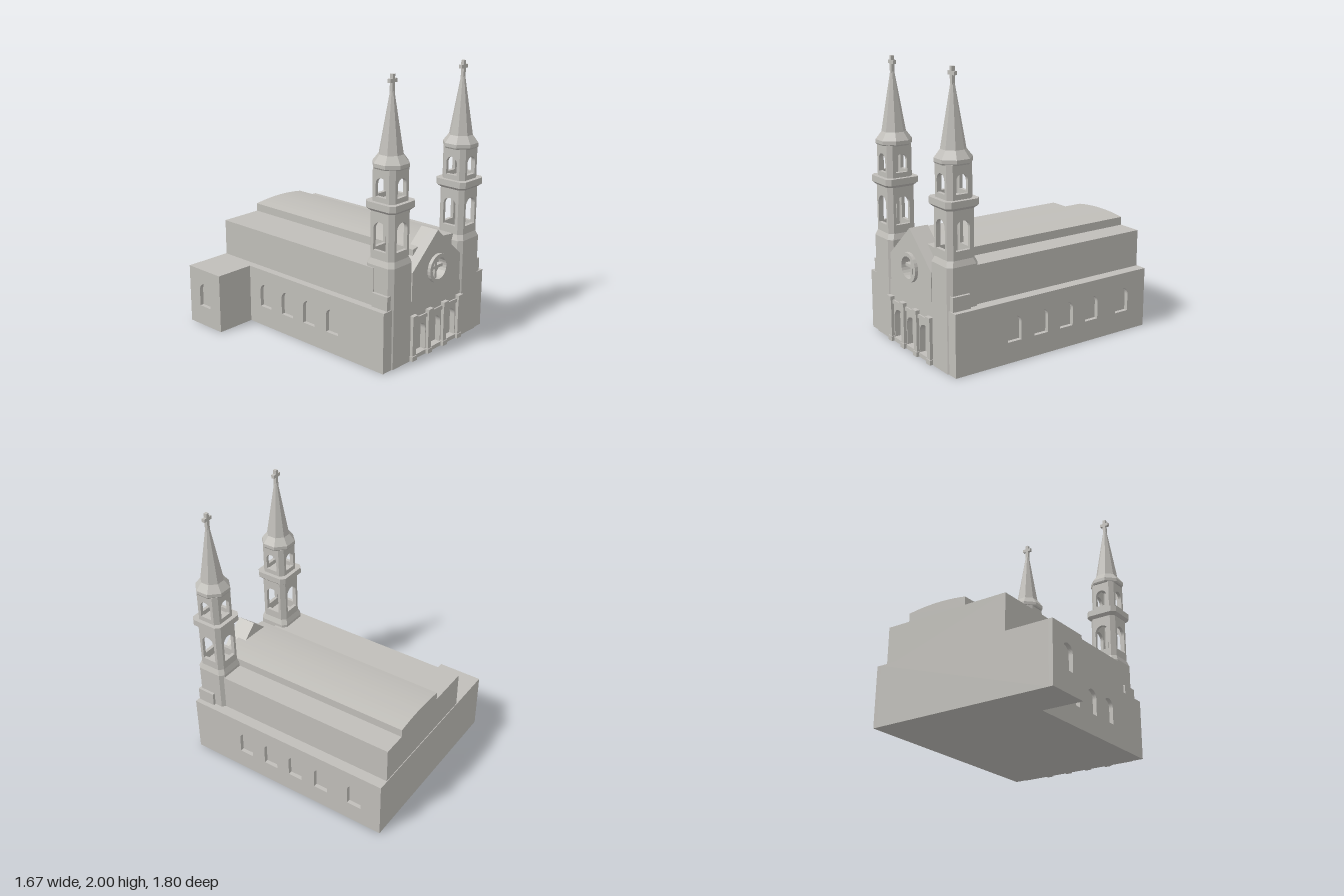
import * as THREE from 'three';

const stone = new THREE.MeshStandardMaterial({ color: 0xc0beb9 });
stone.name = 'stone';

function add(parent, name, geometry, x = 0, y = 0, z = 0) {
  const mesh = new THREE.Mesh(geometry, stone);
  mesh.name = name;
  mesh.position.set(x, y, z);
  parent.add(mesh);
  return mesh;
}

// Box given by its limits on each axis
function block(parent, name, x0, x1, y0, y1, z0, z1) {
  return add(parent, name, new THREE.BoxGeometry(x1 - x0, y1 - y0, z1 - z0),
    (x0 + x1) / 2, (y0 + y1) / 2, (z0 + z1) / 2);
}

const polygon = (points) => new THREE.Shape(points.map(([x, y]) => new THREE.Vector2(x, y)));
const rect = (x0, x1, y0, y1) => polygon([[x0, y0], [x1, y0], [x1, y1], [x0, y1]]);
const extrude = (shape, depth) =>
  new THREE.ExtrudeGeometry(shape, { depth, bevelEnabled: false, curveSegments: 12 });

// Round-headed opening
function arch(cx, width, y0, top) {
  const r = width / 2;
  const path = new THREE.Path();
  path.moveTo(cx - r, y0);
  path.lineTo(cx + r, y0);
  path.lineTo(cx + r, top - r);
  path.absarc(cx, top - r, r, 0, Math.PI, false);
  path.lineTo(cx - r, y0);
  return path;
}

function disc(cx, cy, r, Kind = THREE.Path) {
  const path = new Kind();
  path.absarc(cx, cy, r, 0, Math.PI * 2, false);
  return path;
}

// Solid through rings of chamfered squares, each [height, half width, chamfer]
function loft(rings) {
  const loops = rings.map(([y, h, c]) => {
    const k = h - c;
    return [[h, k], [k, h], [-k, h], [-h, k], [-h, -k], [-k, -h], [k, -h], [h, -k]]
      .map(([x, z]) => [x, y, z]);
  });
  const pos = [];
  const last = loops.length - 1;
  for (let i = 0; i < 8; i++) {
    const j = (i + 1) % 8;
    for (let n = 0; n < last; n++) {
      const a = loops[n][i], b = loops[n][j], A = loops[n + 1][i], B = loops[n + 1][j];
      pos.push(...a, ...A, ...b, ...b, ...A, ...B);
    }
    pos.push(0, rings[0][0], 0, ...loops[0][i], ...loops[0][j]);
    pos.push(0, rings[last][0], 0, ...loops[last][j], ...loops[last][i]);
  }
  const g = new THREE.BufferGeometry();
  g.setAttribute('position', new THREE.Float32BufferAttribute(pos, 3));
  g.computeVertexNormals();
  return g;
}

// Open bell stage: four arched walls and four chamfered corner piers
function bellStage(parent, name, h, y0, y1, width, sill, top) {
  const c = 0.03, t = 0.025, k = h - c;
  const stage = new THREE.Group();
  stage.name = name;
  const wall = rect(-k, k, y0, y1);
  wall.holes.push(arch(0, width, sill, top));
  const pier = polygon([[k, h], [h, k], [h - t, k], [k, h - t]]);
  for (let i = 0; i < 4; i++) {
    const side = new THREE.Group();
    side.name = 'bellStageSide';
    side.rotation.y = i * Math.PI / 2;
    add(side, 'archedWall', extrude(wall, t), 0, 0, h - t);
    add(side, 'cornerPier', extrude(pier, y1 - y0).rotateX(Math.PI / 2), 0, y1, 0);
    stage.add(side);
  }
  parent.add(stage);
}

function tower(x, z) {
  const g = new THREE.Group();
  g.name = 'tower';
  g.position.set(x, 0, z);
  add(g, 'towerShaft', loft([[0, 0.12, 0.03], [0.73, 0.12, 0.03], [0.77, 0.105, 0.03]]));
  bellStage(g, 'lowerBellStage', 0.105, 0.77, 1.11, 0.108, 0.83, 1.03);
  add(g, 'cornice', loft([[1.1, 0.107, 0.03], [1.12, 0.128, 0.03], [1.165, 0.128, 0.03]]));
  bellStage(g, 'upperBellStage', 0.098, 1.165, 1.395, 0.09, 1.2, 1.33);
  const oct = (y, h) => [y, h, h * 0.586];
  add(g, 'spire', loft([oct(1.39, 0.112), oct(1.4, 0.118), oct(1.425, 0.118),
    oct(1.48, 0.079), oct(1.89, 0.014)]));
  block(g, 'crossUpright', -0.012, 0.012, 1.88, 2, -0.012, 0.012);
  block(g, 'crossArm', -0.036, 0.036, 1.945, 1.97, -0.012, 0.012);
  return g;
}

export function createModel() {
  const model = new THREE.Group();
  model.name = 'church';
  const church = new THREE.Group();
  church.name = 'churchBody';
  church.rotation.y = 0.159;
  model.add(church);

  const mid = 0.147;      // centre line of the facade
  const eaves = 0.44;     // top of the aisle walls
  const front = 0.833, back = -0.81, inset = 0.03;

  // Aisle core, inset behind the windowed walls
  const plan = polygon([[0.677, back], [0.677, front], [0.4, front], [0.4, 0.79], [-0.11, 0.79],
    [-0.11, front], [-0.388, front], [-0.388, -0.475], [-0.69, -0.475], [-0.69, back]]);
  add(church, 'aisleCore', extrude(plan, eaves).rotateX(Math.PI / 2), 0, eaves, 0);

  // Outer walls with recessed windows; side is +1 for left, -1 for right
  const sideWall = (name, side, x, z0, z1, windows) => {
    const shape = rect(Math.min(-side * z0, -side * z1), Math.max(-side * z0, -side * z1), 0, eaves);
    for (const z of windows) shape.holes.push(arch(-side * z, 0.114, 0.15, 0.33));
    add(church, name, extrude(shape, inset), x, 0, 0).rotation.y = side * Math.PI / 2;
  };
  const bays = [0.363, 0.138, -0.082, -0.307];
  sideWall('leftAisleWall', 1, 0.677, back, front, [...bays, -0.592]);
  sideWall('rightAisleWall', -1, -0.388, -0.475, front, bays);
  sideWall('wingEndWall', -1, -0.69, back, -0.475, [-0.643]);

  // Nave walls and shallow curved roof
  block(church, 'nave', -0.361, 0.625, 0.42, 0.71, -0.805, 0.69);
  const roof = new THREE.Shape();
  roof.moveTo(-0.033, 0.7);
  roof.lineTo(0.446, 0.7);
  roof.lineTo(0.446, 0.77);
  roof.quadraticCurveTo(0.206, 0.808, -0.033, 0.77);
  add(church, 'naveRoof', extrude(roof, 1.565), 0, 0, -0.805);

  // Gabled facade: solid back layer, front layer with openings
  const gable = () => polygon([[mid - 0.27, 0], [mid + 0.27, 0], [mid + 0.27, 0.645],
    [mid, 0.885], [mid - 0.27, 0.645]]);
  add(church, 'gableBack', extrude(gable(), 0.1), 0, 0, 0.69);
  const facade = gable();
  const doors = [-0.172, 0, 0.172].map((d) => mid + d);
  for (const x of doors) facade.holes.push(arch(x, 0.122, 0.03, 0.245));
  facade.holes.push(disc(mid, 0.61, 0.08));
  add(church, 'gableFront', extrude(facade, front - 0.79), 0, 0, 0.79);

  // Rose window
  const ring = disc(mid, 0.61, 0.105, THREE.Shape);
  ring.holes.push(disc(mid, 0.61, 0.078));
  add(church, 'roseRing', extrude(ring, 0.03), 0, 0, 0.827);
  block(church, 'roseBarUpright', mid - 0.011, mid + 0.011, 0.53, 0.69, 0.789, 0.825);
  block(church, 'roseBarLevel', mid - 0.08, mid + 0.08, 0.599, 0.621, 0.789, 0.824);

  // Portal: lintel, steps and four columns
  block(church, 'portalLintel', mid - 0.26, mid + 0.26, 0.28, 0.308, 0.82, 0.844);
  block(church, 'portalStep', mid - 0.26, mid + 0.26, 0, 0.03, 0.82, 0.842);
  for (const d of [-0.259, -0.0865, 0.0865, 0.259]) {
    const x = mid + d;
    block(church, 'columnBase', x - 0.025, x + 0.025, 0, 0.035, 0.815, 0.862);
    block(church, 'columnShaft', x - 0.018, x + 0.018, 0.03, 0.31, 0.82, 0.856);
    block(church, 'columnCapital', x - 0.026, x + 0.026, 0.305, 0.335, 0.812, 0.864);
  }

  // Towers with the buttresses beside them
  for (const s of [-1, 1]) {
    church.add(tower(mid + s * 0.382, 0.721));
    const inner = mid + s * 0.45, outer = mid + s * 0.523;
    block(church, 'buttress', Math.min(inner, outer), Math.max(inner, outer), 0.42, 0.54, 0.69, 0.826);
  }
  return model;
}
